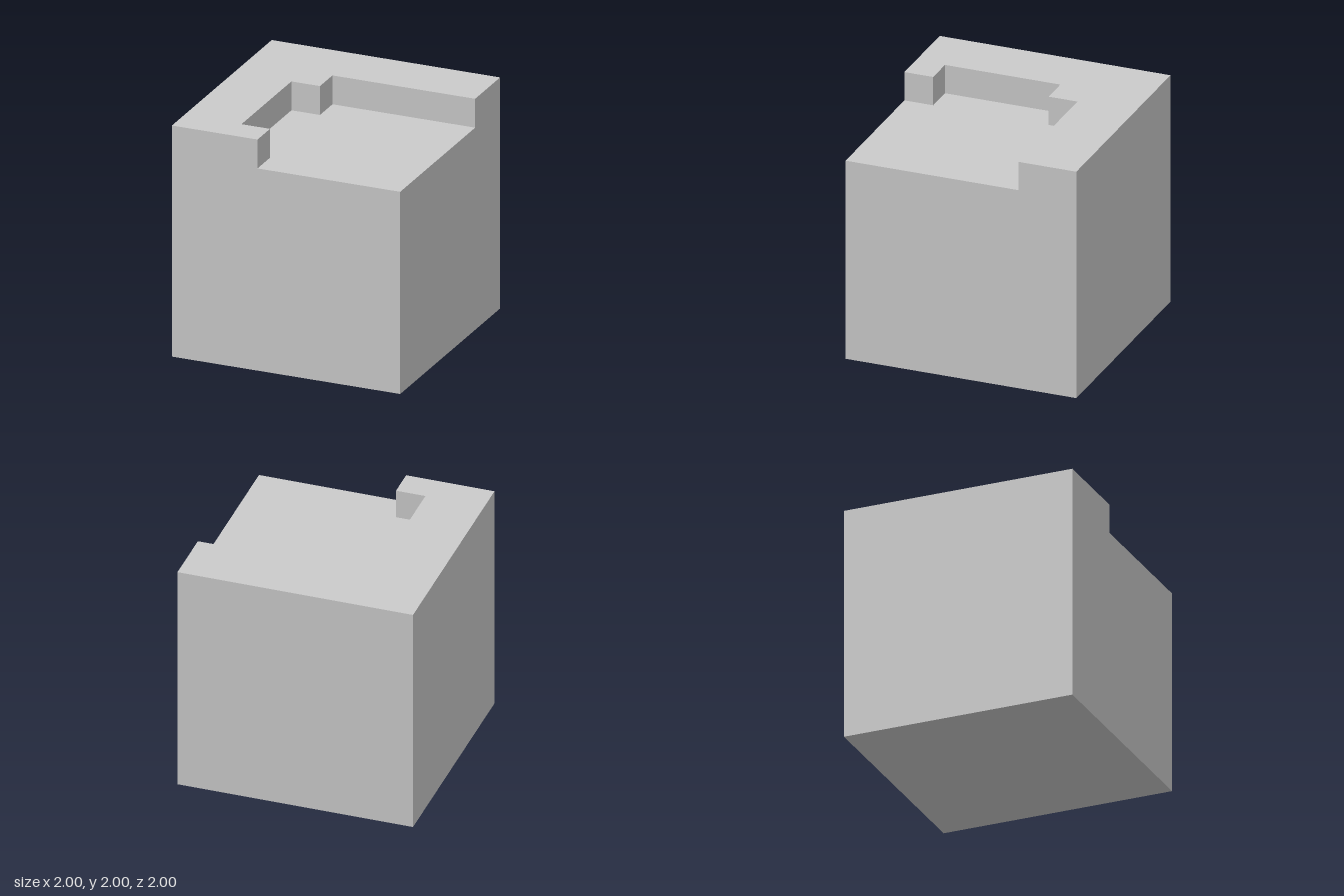
import * as THREE from 'three';

export function createModel() {
  const model = new THREE.Group();
  model.name = 'notchedBlock';
  const material = new THREE.MeshStandardMaterial({ color: 0xcccccc, flatShading: true });

  const floorY = 1.75; // level of the sunken floor
  const topY = 2;

  // Solid lower block, whose top is the sunken floor
  const base = new THREE.Mesh(new THREE.BoxGeometry(2, floorY, 2), material);
  base.name = 'baseBlock';
  base.position.y = floorY / 2;
  model.add(base);

  // Raised L-shaped rim along the back and the right side, outlined as [x, z]
  const outline = [
    [-1, -1], [1, -1], [1, -0.5], [-0.25, -0.5], [-0.25, -0.25],
    [-0.5, -0.25], [-0.5, 0.75], [-0.25, 0.75], [-0.25, 1], [-1, 1],
  ];
  const shape = new THREE.Shape(outline.map(([x, z]) => new THREE.Vector2(x, -z)));
  const rimGeometry = new THREE.ExtrudeGeometry(shape, { depth: topY - floorY, bevelEnabled: false });
  rimGeometry.rotateX(-Math.PI / 2);
  const rim = new THREE.Mesh(rimGeometry, material);
  rim.name = 'raisedRim';
  rim.position.y = floorY;
  model.add(rim);

  return model;
}
